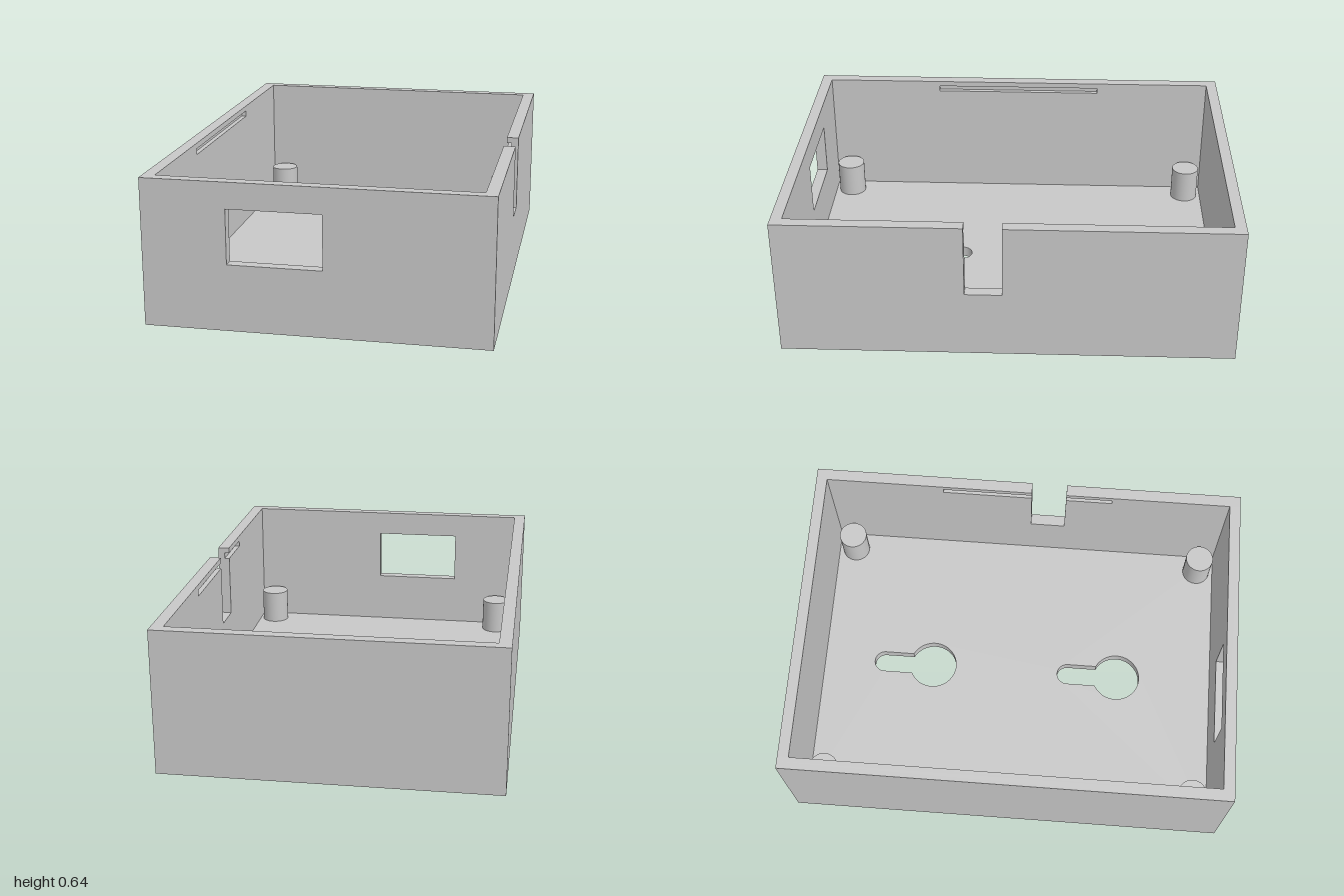
import * as THREE from 'three';

const W = 0.733, D = 1, H = 0.642;      // outer half width, half depth, height
const IW = 0.68, ID = 0.95, FLOOR = 0.05; // inner half sizes, floor thickness
const GROOVE = 0.022;                   // depth of the snap grooves

const plastic = new THREE.MeshStandardMaterial({ color: 0xc8c8c8 });
plastic.name = 'light grey plastic';

function polygon(points) {
  return new THREE.Shape(points.map(([x, y]) => new THREE.Vector2(x, y)));
}

function rectangle(x0, y0, x1, y1) {
  return polygon([[x0, y0], [x1, y0], [x1, y1], [x0, y1]]);
}

function extrude(shape, depth) {
  return new THREE.ExtrudeGeometry(shape, { depth, bevelEnabled: false, curveSegments: 32 });
}

// Plate drawn in (z, y) that runs from xOuter towards -x
function sidePlate(shape, xOuter, thickness) {
  return extrude(shape, thickness).rotateY(-Math.PI / 2).translate(xOuter, 0, 0);
}

// Hanging hole: a round opening with a narrow slot towards the back
function keyhole(z) {
  const r = 0.113, half = 0.05, a = Math.acos(half / r);
  const path = new THREE.Path();
  path.absarc(0, -z, r, Math.PI - a, 2 * Math.PI + a, false);
  path.absarc(0, -z + 0.24, half, 0, Math.PI, false);
  path.closePath();
  return path;
}

export function createModel() {
  const group = new THREE.Group();
  group.name = 'openBox';
  const add = (name, geometry) => {
    const mesh = new THREE.Mesh(geometry, plastic);
    mesh.name = name;
    group.add(mesh);
    return mesh;
  };

  // Floor with two keyholes
  const floor = rectangle(-IW, -ID, IW, ID);
  floor.holes.push(keyhole(-0.415), keyhole(0.49));
  add('floor', extrude(floor, FLOOR).rotateX(-Math.PI / 2));

  // Front wall with its window, and plain back wall
  const front = rectangle(-IW, 0, IW, H);
  front.holes.push(rectangle(-0.37, 0.29, 0.033, 0.528));
  add('frontWall', extrude(front, D - ID).translate(0, 0, ID));
  add('backWall', extrude(rectangle(-IW, 0, IW, H), D - ID).translate(0, 0, -D));

  // Right-hand wall (-x): solid outer layer, grooved inner layer
  const g0 = 0.59, g1 = 0.617, gz = 0.4;
  const skin = W - IW - GROOVE;
  add('rightWallOuter', sidePlate(rectangle(-D, 0, D, H), -W + skin, skin));
  const grooved = rectangle(-D, 0, D, H);
  grooved.holes.push(rectangle(-gz, g0, gz, g1));
  add('rightWallInner', sidePlate(grooved, -IW, GROOVE));

  // Left-hand wall (+x): cable notch cut through both layers and the groove
  const n0 = 0.02, n1 = 0.183, ny = 0.31;
  add('leftWallOuter', sidePlate(polygon([
    [-D, 0], [D, 0], [D, H], [n1, H], [n1, ny], [n0, ny], [n0, H], [-D, H],
  ]), W, skin));
  add('leftWallInner', sidePlate(polygon([
    [-D, 0], [D, 0], [D, H],
    [n1, H], [n1, g1], [gz, g1], [gz, g0], [n1, g0], [n1, ny],
    [n0, ny], [n0, g0], [-gz, g0], [-gz, g1], [n0, g1], [n0, H],
    [-D, H],
  ]), IW + GROOVE, GROOVE));

  // Standing posts in the corners
  const postHeight = 0.16;
  for (const x of [-0.6, 0.6]) {
    for (const z of [-0.867, 0.867]) {
      add('cornerPost', new THREE.CylinderGeometry(0.066, 0.066, postHeight, 32))
        .position.set(x, FLOOR + postHeight / 2, z);
    }
  }
  return group;
}
